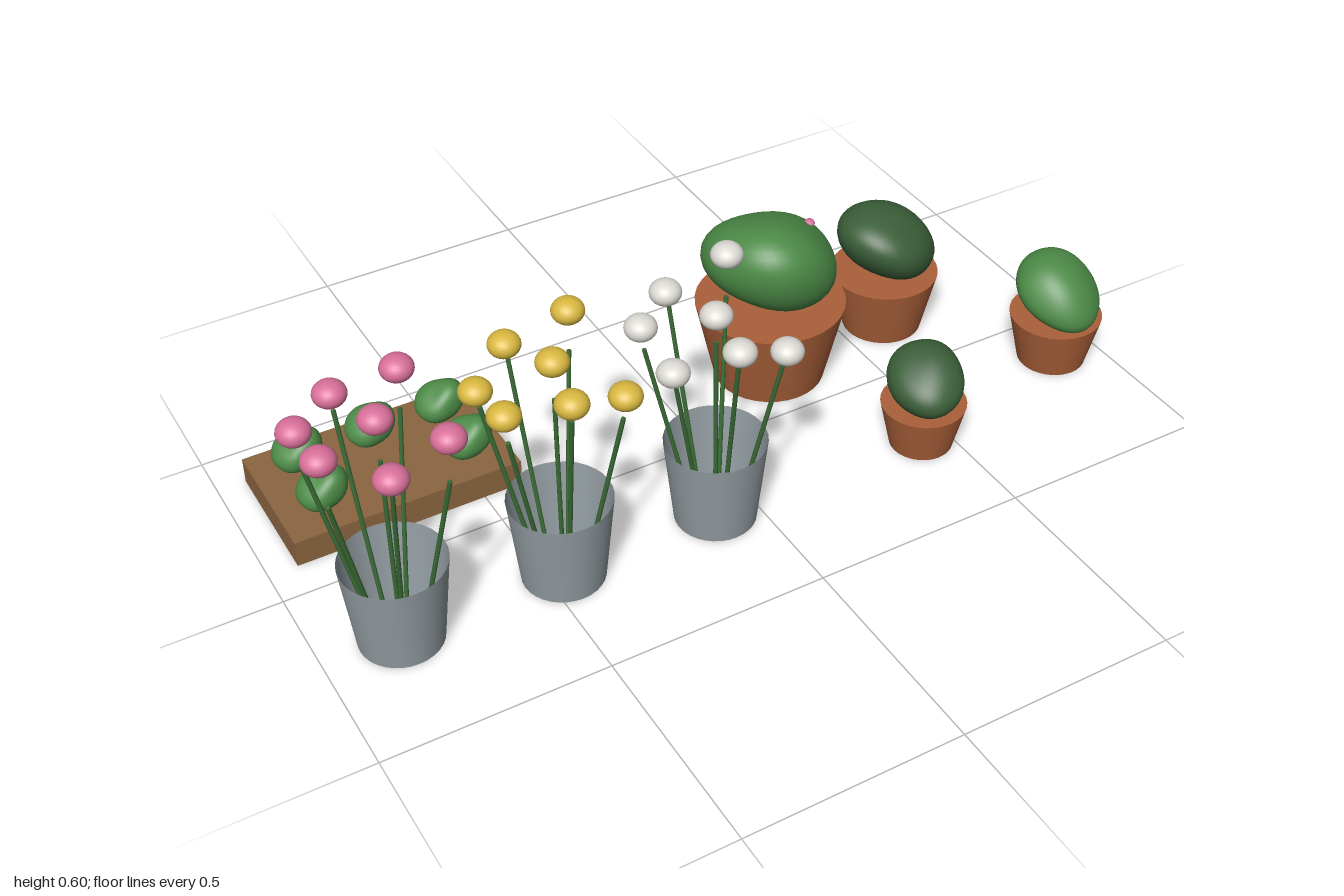
import * as THREE from 'three';
import { mergeVertices } from 'three/addons/utils/BufferGeometryUtils.js';

const paint = (name, color, side = THREE.FrontSide) => {
  const m = new THREE.MeshStandardMaterial({ color, side });
  m.name = name;
  return m;
};

export function createModel() {
  const root = new THREE.Group();
  root.name = 'flowerStand';

  const zinc = paint('zinc grey', 0x929ca1, THREE.DoubleSide);
  const terracotta = paint('terracotta', 0xaa6039);
  const wood = paint('crate wood', 0x8b6540);
  const leaf = paint('leaf green', 0x4c8a47);
  const darkLeaf = paint('dark leaf green', 0x3a5e38);
  const stemGreen = paint('stem green', 0x3a6a35);
  const pink = paint('pink', 0xd9709a);
  const yellow = paint('yellow', 0xd9b840);
  const white = paint('white', 0xdcdad4);

  const add = (parent, name, geometry, material, x = 0, y = 0, z = 0) => {
    const mesh = new THREE.Mesh(geometry, material);
    mesh.name = name;
    mesh.position.set(x, y, z);
    parent.add(mesh);
    return mesh;
  };

  // Uneven bush: an ellipsoid leaning towards its peak, with soft lobes
  const bushGeometry = ([rx, ry, rz], [leanX, leanZ], seed, rough = 0.05) => {
    let g = new THREE.SphereGeometry(1, 36, 26);
    g.deleteAttribute('uv');
    g.deleteAttribute('normal');
    g = mergeVertices(g, 1e-4);
    const p = g.attributes.position;
    for (let i = 0; i < p.count; i++) {
      const x = p.getX(i), y = p.getY(i), z = p.getZ(i);
      const f = 1 + rough * (Math.sin(3 * x + seed) * Math.cos(2.6 * z - seed) + 0.6 * Math.sin(3.4 * y + 2 * z + seed * 1.7));
      p.setXYZ(i, x * f * rx + leanX * y, y * f * ry, z * f * rz + leanZ * y);
    }
    g.computeVertexNormals();
    return g;
  };

  // Zinc buckets of seven stems: one upright, six fanned outwards
  const stemTops = [0.465, 0.46, 0.525, 0.455, 0.455, 0.5, 0.475];
  const headGeo = new THREE.SphereGeometry(0.035, 24, 16).scale(1, 0.79, 1);
  const bucketGeo = new THREE.CylinderGeometry(0.112, 0.09, 0.21, 32, 1, true);
  const baseGeo = new THREE.CylinderGeometry(0.09, 0.09, 0.006, 32);
  const buckets = [
    [-0.828, pink, [0.566, 0.566, 0.545, 0.572, 0.545, 0.538, 0.57]],
    [-0.46, yellow, [0.557, 0.517, 0.57, 0.525, 0.494, 0.516, 0.57]],
    [-0.092, white, [0.532, 0.484, 0.55, 0.484, 0.511, 0.51, 0.576]],
  ];
  for (const [x, colour, heights] of buckets) {
    const bucket = new THREE.Group();
    bucket.name = 'flowerBucket';
    bucket.position.set(x, 0, 0.213);
    root.add(bucket);
    add(bucket, 'bucketWall', bucketGeo, zinc, 0, 0.105, 0);
    add(bucket, 'bucketBase', baseGeo, zinc, 0, 0.003, 0);
    heights.forEach((h, i) => {
      const a = (i / 7) * Math.PI * 2, r = i ? 0.153 : 0;
      const dx = Math.cos(a) * r, dz = Math.sin(a) * r;
      const from = new THREE.Vector3(dx * 0.3, 0.005, dz * 0.3);
      const to = new THREE.Vector3(dx * 0.96, Math.min(stemTops[i], h), dz * 0.96);
      const dir = to.clone().sub(from);
      const stem = add(bucket, 'stem', new THREE.CylinderGeometry(0.005, 0.005, dir.length(), 8), stemGreen);
      stem.position.copy(from).add(to).multiplyScalar(0.5);
      stem.quaternion.setFromUnitVectors(new THREE.Vector3(0, 1, 0), dir.normalize());
      add(bucket, 'flowerHead', headGeo, colour, dx, h, dz);
    });
  }

  // Terracotta pots, each with a bush: x, z, rim radius, height, bush centre y, radii, lean, colour, seed
  const pots = [
    [0.277, -0.165, 0.175, 0.203, 0.312, [0.15, 0.122, 0.15], [-0.042, 0.03], leaf, 1.2],
    [0.614, -0.19, 0.128, 0.153, 0.237, [0.113, 0.088, 0.112], [-0.042, -0.015], darkLeaf, 2.6],
    [0.435, 0.233, 0.097, 0.113, 0.175, [0.083, 0.068, 0.086], [0.018, -0.025], darkLeaf, 4.1],
    [0.885, 0.129, 0.108, 0.126, 0.194, [0.094, 0.078, 0.09], [-0.008, -0.045], leaf, 5.3],
  ];
  for (const [x, z, r, h, cy, radii, lean, green, seed] of pots) {
    const pot = new THREE.Group();
    pot.name = 'pottedBush';
    pot.position.set(x, 0, z);
    root.add(pot);
    add(pot, 'pot', new THREE.CylinderGeometry(r, r * 0.74, h, 32), terracotta, 0, h / 2, 0);
    add(pot, 'bush', bushGeometry(radii, lean, seed), green, 0, cy, 0);
  }

  // Single small blossom on the largest bush
  const blossom = add(root, 'blossom', new THREE.SphereGeometry(0.013, 10, 8), pink, 0.377, 0.379, -0.165);
  blossom.scale.y = 0.7;

  // Wooden tray with five seedlings
  add(root, 'tray', new THREE.BoxGeometry(0.525, 0.063, 0.313), wood, -0.672, 0.0315, -0.242);
  const seedling = bushGeometry([0.054, 0.05, 0.05], [0.017, 0.008], 0.6, 0.09);
  for (const [x, z] of [[-0.835, -0.315], [-0.665, -0.315], [-0.498, -0.315], [-0.835, -0.17], [-0.498, -0.17]]) {
    add(root, 'seedling', seedling, leaf, x, 0.109, z);
  }

  return root;
}
